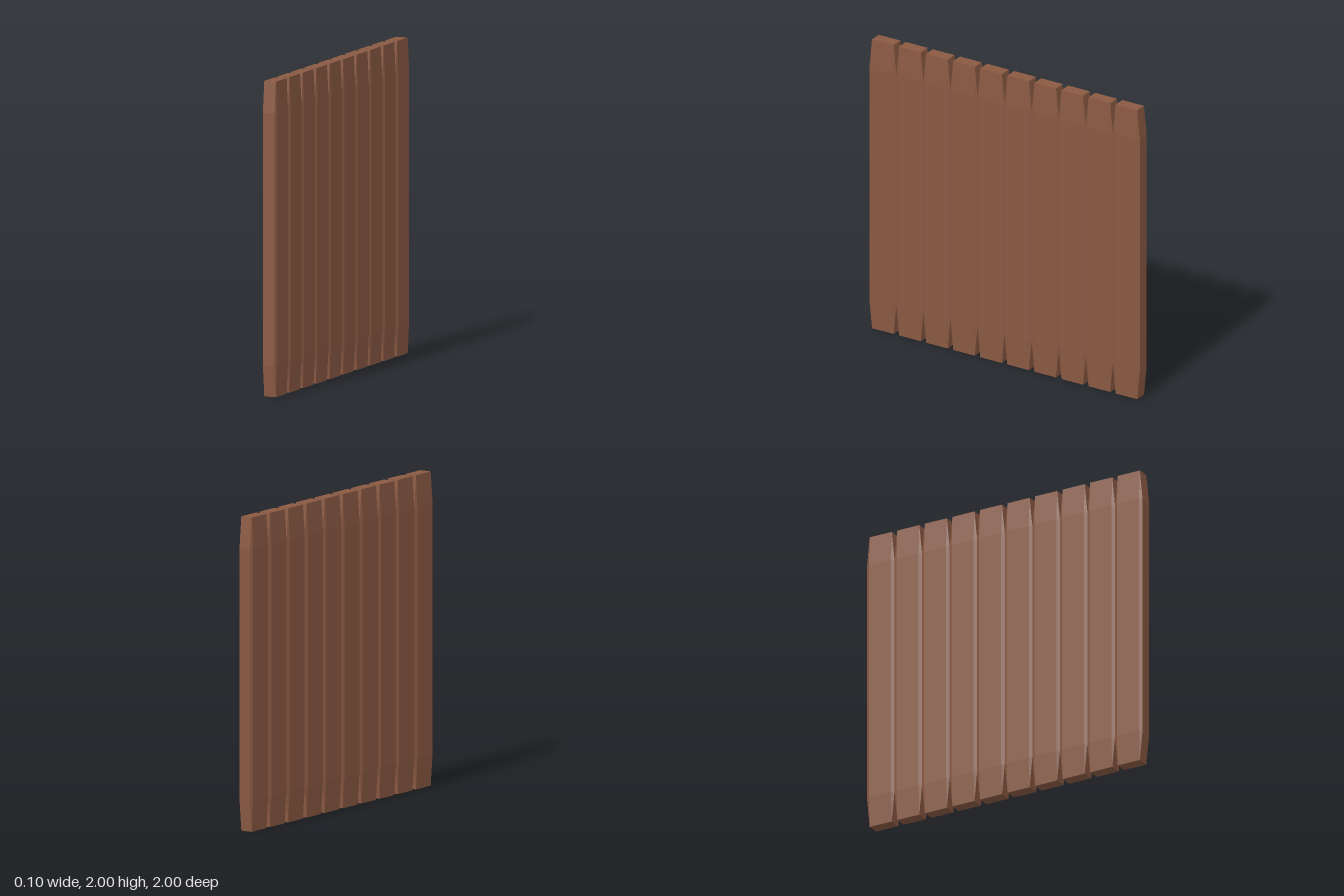
import * as THREE from 'three';
import { ConvexGeometry } from 'three/addons/geometries/ConvexGeometry.js';

const COUNT = 10;
const HEIGHT = 2, WIDTH = 0.2, THICKNESS = 0.1;
const INNER = 0.8; // share of each half-size left flat by the bevel

// Box whose bevel is stretched with its proportions
function bevelledBox(w, h, d) {
  const points = [];
  for (const x of [-0.5, 0.5]) for (const y of [-0.5, 0.5]) for (const z of [-0.5, 0.5]) {
    for (let axis = 0; axis < 3; axis++) {
      const s = [INNER, INNER, INNER];
      s[axis] = 1;
      points.push(new THREE.Vector3(x * w * s[0], y * h * s[1], z * d * s[2]));
    }
  }
  return new ConvexGeometry(points);
}

export function createModel() {
  const group = new THREE.Group();
  group.name = 'plankWall';
  const wood = new THREE.MeshStandardMaterial({ color: 0x8b5a43, flatShading: true });
  const geometry = bevelledBox(THICKNESS, HEIGHT, WIDTH);

  // Row of upright planks, edge to edge along z
  for (let i = 0; i < COUNT; i++) {
    const plank = new THREE.Mesh(geometry, wood);
    plank.name = `plank${i + 1}`;
    plank.position.set(0, HEIGHT / 2, (i - (COUNT - 1) / 2) * WIDTH);
    group.add(plank);
  }
  return group;
}
